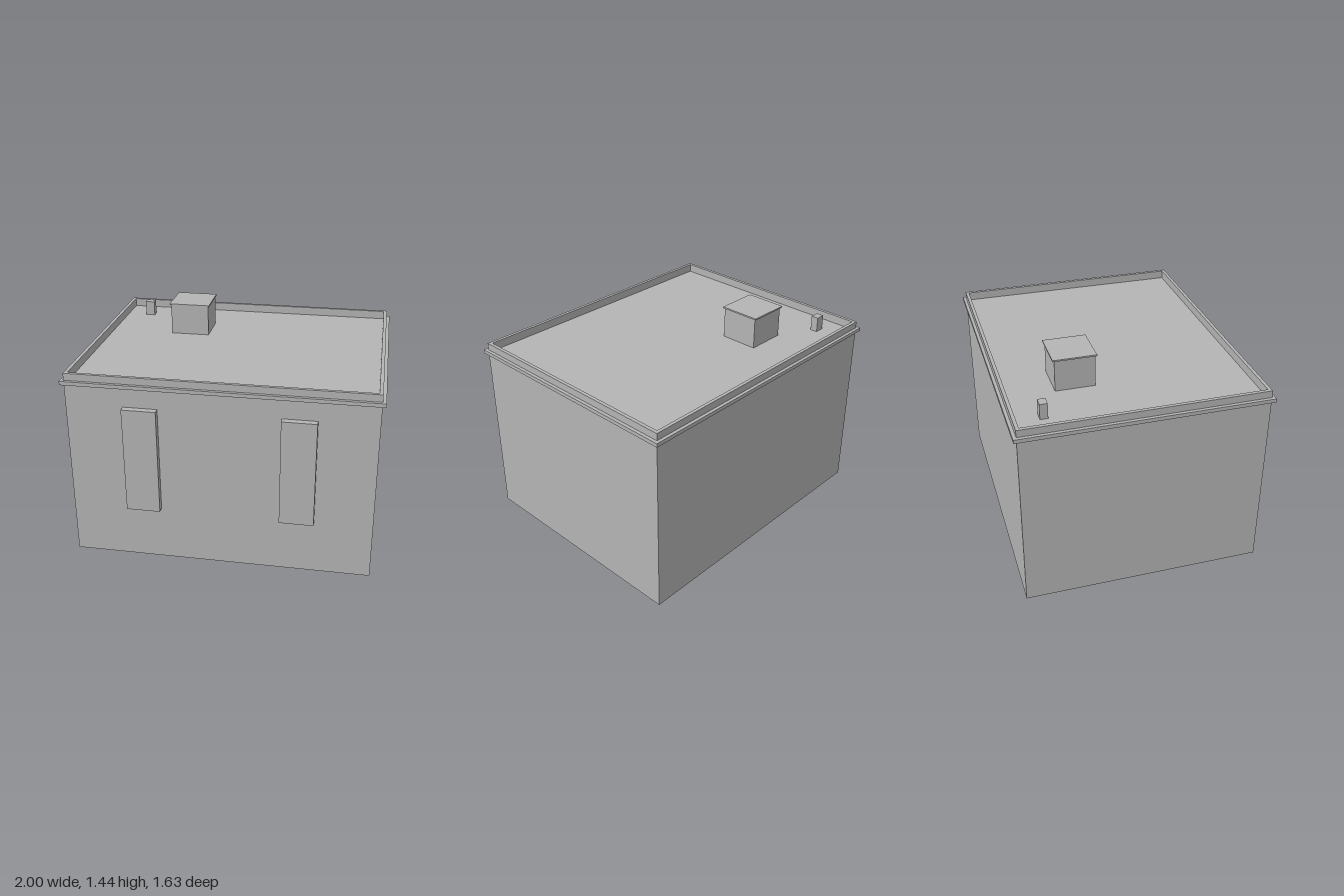
import * as THREE from 'three';

export function createModel() {
  const model = new THREE.Group();
  const stone = new THREE.MeshStandardMaterial({ color: 0xb4b4b4, side: THREE.DoubleSide });
  stone.name = 'plain grey';

  function add(name, geometry) {
    const mesh = new THREE.Mesh(geometry, stone);
    mesh.name = name;
    model.add(mesh);
    return mesh;
  }

  // Block given by its extents on each axis
  function block(name, x0, x1, y0, y1, z0, z1) {
    const mesh = add(name, new THREE.BoxGeometry(x1 - x0, y1 - y0, z1 - z0));
    mesh.position.set((x0 + x1) / 2, (y0 + y1) / 2, (z0 + z1) / 2);
    return mesh;
  }

  const rect = (w, d) => [[-w, -d], [w, -d], [w, d], [-w, d]].map(([x, y]) => new THREE.Vector2(x, y));
  const midZ = -0.011;

  // Rectangular frame lying flat, with outer and inner half sizes
  function frame(name, w, d, wIn, dIn, y0, y1) {
    const shape = new THREE.Shape(rect(w, d));
    shape.holes.push(new THREE.Path(rect(wIn, dIn)));
    const geometry = new THREE.ExtrudeGeometry(shape, { depth: y1 - y0, bevelEnabled: false });
    geometry.rotateX(-Math.PI / 2);
    add(name, geometry).position.set(0, y0, midZ);
  }

  const W = 0.978, D = 0.784, roofY = 1.222;

  // Hollow shell of walls and flat roof, open underneath
  const shell = block('wallsAndRoof', -W, W, 0, roofY, midZ - D, midZ + D);
  const index = Array.from(shell.geometry.index.array);
  index.splice(18, 6); // bottom face
  shell.geometry.setIndex(index);
  shell.geometry.clearGroups();

  // Roof edge
  frame('parapet', W, D, 0.955, 0.762, roofY, 1.278);
  frame('cornice', 1, 0.805, W, D, 1.206, 1.231);

  // Raised window panels on the front
  for (const side of [-1, 1]) {
    const x = side * 0.497;
    block(side > 0 ? 'leftWindowPanel' : 'rightWindowPanel', x - 0.11, x + 0.11, 0.367, 1.077, 0.773, 0.817);
  }

  // Chimney with its cap, and a small vent
  block('chimney', -0.527, -0.263, roofY, 1.43, -0.465, -0.207);
  block('chimneyCap', -0.536, -0.255, 1.43, 1.44, -0.477, -0.198);
  block('roofVent', -0.818, -0.754, roofY, 1.324, -0.624, -0.574);

  return model;
}
